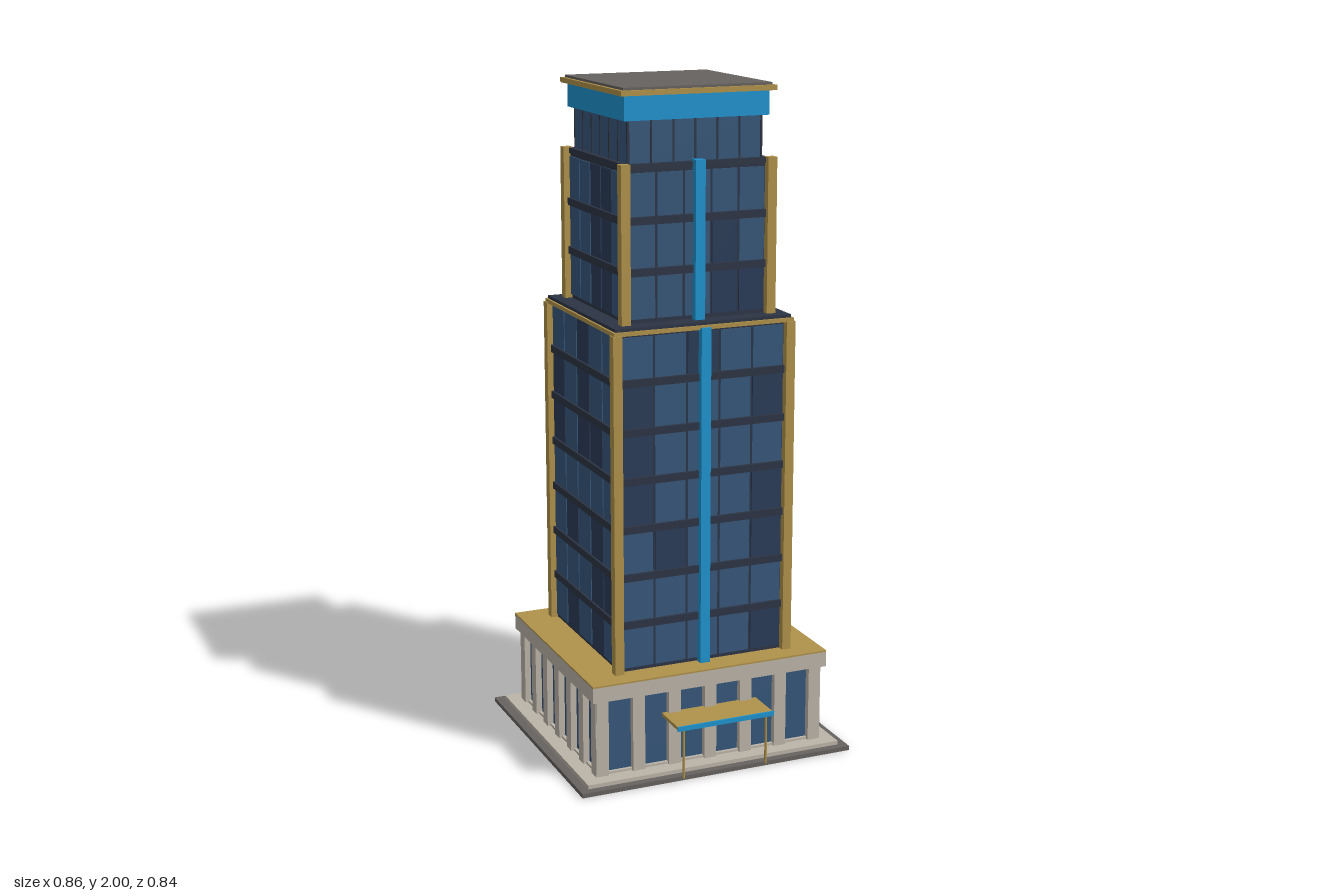
import * as THREE from 'three';

const mat = (color) => new THREE.MeshStandardMaterial({ color });

export function createModel() {
  const model = new THREE.Group();
  model.name = 'officeTower';
  const gold = mat(0xb0924a), stone = mat(0xbcb5a8), grey = mat(0x66625f), dark = mat(0x2c3444);
  const blue = mat(0x1e94cf), glass = mat(0x36577a), glassDark = mat(0x2a3c58);

  // Everything but the canopy is centred on the tower axis
  const tower = new THREE.Group();
  tower.name = 'tower';
  tower.position.z = -0.0245;
  model.add(tower);

  const box = (parent, name, material, w, d, y0, y1, x = 0, z = 0) => {
    const mesh = new THREE.Mesh(new THREE.BoxGeometry(w, y1 - y0, d), material);
    mesh.name = name;
    mesh.position.set(x, (y0 + y1) / 2, z);
    parent.add(mesh);
    return mesh;
  };

  // Calls build(group, side) for four groups, each turned to face one side
  const fourSides = (name, build) => {
    for (let side = 0; side < 4; side++) {
      const group = new THREE.Group();
      group.name = name;
      group.rotation.y = side * Math.PI / 2;
      tower.add(group);
      build(group, side);
    }
  };

  // Small seeded generator for the mix of lighter and darker panes
  let seed = 11;
  const random = () => {
    seed = (seed * 16807) % 2147483647;
    return seed / 2147483647;
  };

  // Ground slab and plinth
  box(tower, 'groundSlab', grey, 0.864, 0.79, 0, 0.013);
  box(tower, 'plinth', stone, 0.81, 0.741, 0.013, 0.025);

  // Podium: glass core, sill, pilasters, cornice and gold roof
  const px = 0.355, pz = 0.32;
  box(tower, 'podiumGlass', glass, 2 * px - 0.02, 2 * pz - 0.02, 0.025, 0.265);
  box(tower, 'podiumSill', stone, 2 * px, 2 * pz, 0.025, 0.032);
  box(tower, 'podiumCornice', stone, 0.752, 0.68, 0.26, 0.306);
  box(tower, 'podiumRoof', gold, 0.752, 0.68, 0.306, 0.311);
  fourSides('podiumSide', (group, side) => {
    const half = side % 2 ? pz : px, out = side % 2 ? px : pz;
    const span = half - 0.012;
    for (let i = 0; i <= 6; i++) {
      box(group, 'podiumPilaster', stone, 0.038, 0.034, 0.025, 0.26, -span + i * span / 3, out - 0.008);
    }
  });

  // A tower stage: dark core, panes, floor bands and gold corner posts
  const stage = (name, half, y0, y1, floors, postTop) => {
    const clear = half - 0.028; // half width between the posts
    const rise = (y1 - y0) / floors, pitch = 2 * clear / 5;
    box(tower, name + 'Core', dark, 2 * half - 0.044, 2 * half - 0.044, y0, y1);
    fourSides(name + 'Facade', (group) => {
      for (let f = 0; f < floors; f++) {
        const y = y0 + f * rise;
        for (let c = 0; c < 5; c++) {
          const shade = random() < 0.58 ? glass : glassDark;
          box(group, 'windowPane', shade, pitch - 0.007, 0.008, y + 0.012, y + rise - 0.012,
            -clear + (c + 0.5) * pitch, half - 0.021);
        }
        if (f > 0) box(group, 'floorBand', dark, 2 * clear, 0.016, y - 0.011, y + 0.011, 0, half - 0.019);
      }
    });
    for (const sx of [-1, 1]) for (const sz of [-1, 1]) {
      box(tower, name + 'CornerPost', gold, 0.028, 0.028, y0, postTop, sx * (half - 0.014), sz * (half - 0.014));
    }
    box(tower, name + 'FrontStrip', blue, 0.03, 0.03, y0, postTop + 0.004, 0, half - 0.011);
  };

  // Lower stage and its ledge
  stage('lowerStage', 0.284, 0.311, 1.32, 7, 1.318);
  box(tower, 'lowerLedgeTrim', gold, 0.56, 0.56, 1.316, 1.328);
  box(tower, 'lowerLedge', dark, 0.547, 0.547, 1.328, 1.337);

  // Upper stage and its cap
  stage('upperStage', 0.24, 1.337, 1.775, 3, 1.79);
  box(tower, 'upperCap', dark, 0.446, 0.446, 1.772, 1.788);

  // Crown: glazed storey, blue band, gold rim and grey roof
  box(tower, 'crownGlass', glass, 0.41, 0.41, 1.788, 1.91);
  fourSides('crownSide', (group) => {
    for (let i = 0; i <= 6; i++) {
      box(group, 'crownMullion', dark, 0.005, 0.006, 1.788, 1.91, -0.204 + i * 0.068, 0.205);
    }
  });
  box(tower, 'crownBand', blue, 0.444, 0.444, 1.908, 1.978);
  box(tower, 'roofRim', gold, 0.476, 0.476, 1.978, 1.993);
  box(tower, 'roof', grey, 0.455, 0.455, 1.99, 2);

  // Entrance canopy on two thin posts
  const canopy = new THREE.Group();
  canopy.name = 'entranceCanopy';
  model.add(canopy);
  box(canopy, 'canopyRoof', gold, 0.304, 0.12, 0.178, 0.188, 0, 0.353);
  box(canopy, 'canopyEdge', blue, 0.308, 0.005, 0.176, 0.19, 0, 0.4145);
  for (const s of [-1, 1]) {
    const post = new THREE.Mesh(new THREE.CylinderGeometry(0.004, 0.004, 0.153, 8), gold);
    post.name = 'canopyPost';
    post.position.set(s * 0.132, 0.1015, 0.407);
    canopy.add(post);
  }
  return model;
}
